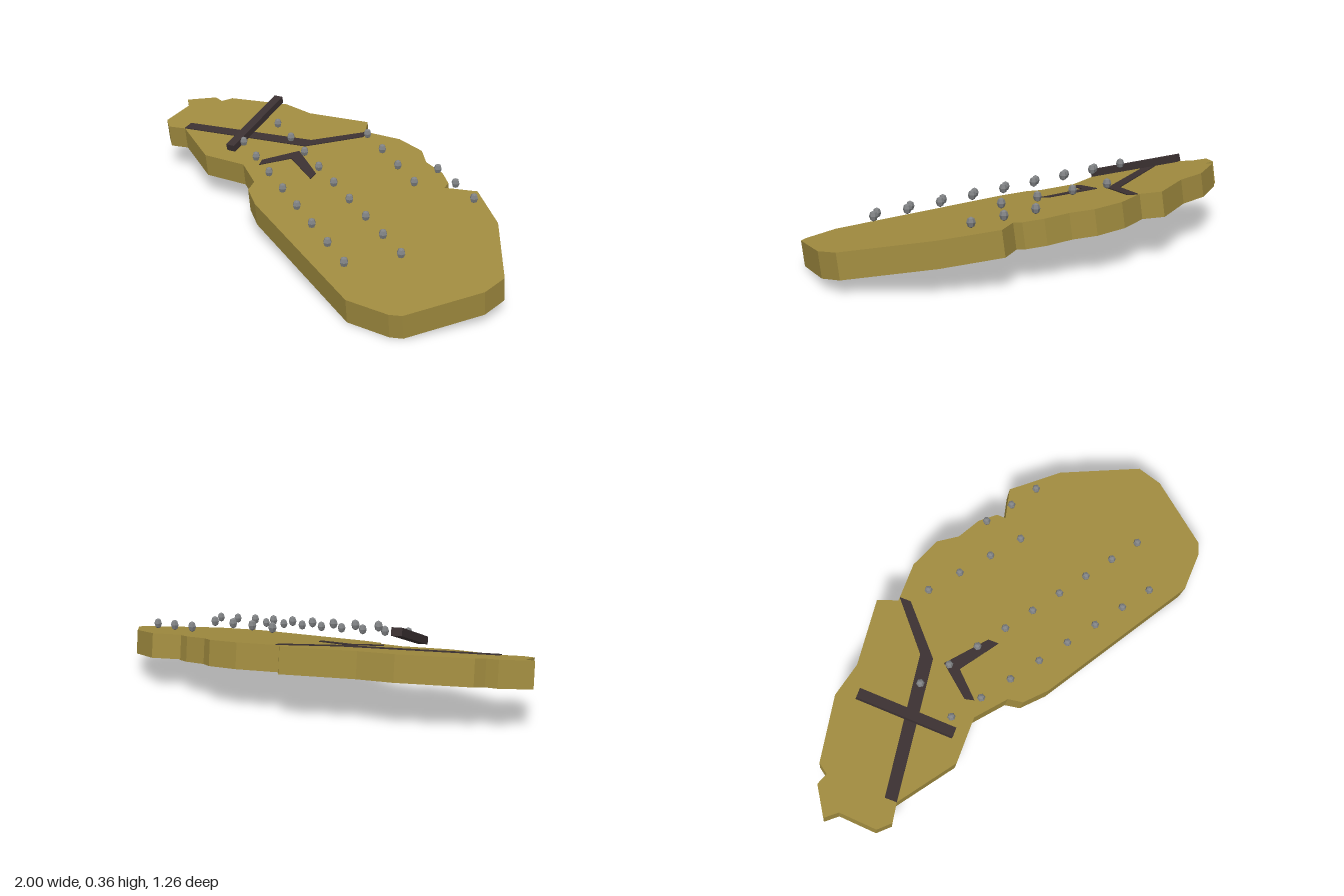
import * as THREE from 'three';

const mat = (name, color, flatShading = false) => {
  const m = new THREE.MeshStandardMaterial({ color, flatShading });
  m.name = name;
  return m;
};

// Upright prism from a ground outline of [x, z] points, its top at height y
function plate(name, points, thickness, top, material) {
  const shape = new THREE.Shape(points.map(([x, z]) => new THREE.Vector2(x, -z / 0.99)));
  const geo = new THREE.ExtrudeGeometry(shape, { depth: thickness, bevelEnabled: false });
  geo.rotateX(-Math.PI / 2).translate(0, top - thickness, 0);
  const mesh = new THREE.Mesh(geo, material);
  mesh.name = name;
  return mesh;
}

export function createModel() {
  const model = new THREE.Group();
  model.name = 'slopingGround';
  const earth = mat('ochre earth', 0xa08b3f);
  const dark = mat('dark brown', 0x3b3132);
  const grey = mat('stone grey', 0x808284, true);

  // Ground slab, sloping down toward the front
  const ground = new THREE.Group();
  ground.name = 'ground';
  ground.rotation.x = 0.142;
  ground.position.y = 0.196;
  model.add(ground);
  ground.add(plate('slab', [
    [-1, -0.47], [-0.957, -0.42], [-0.968, -0.255], [-0.92, -0.205], [-0.835, -0.22],
    [-0.594, -0.05], [-0.385, -0.05], [-0.257, 0.055], [-0.246, 0.12], [-0.155, 0.205],
    [0.52, 0.62], [0.705, 0.63], [0.755, 0.615], [0.968, 0.36], [1, 0.25],
    [0.834, -0.08], [0.663, -0.265], [0.524, -0.235], [0.524, -0.275], [0.465, -0.34],
    [0.36, -0.395], [0.3, -0.475], [0.16, -0.53], [-0.02, -0.53], [-0.053, -0.615],
    [-0.353, -0.585], [-0.508, -0.62], [-0.797, -0.57], [-0.83, -0.525], [-0.88, -0.545],
  ], 0.106, 0, earth));

  // Dark bands laid on the slope
  ground.add(plate('longBand', [
    [-0.835, -0.272], [-0.21, -0.358], [-0.005, -0.53],
    [-0.005, -0.48], [-0.21, -0.3], [-0.835, -0.22],
  ], 0.009, 0.004, dark));
  ground.add(plate('chevronBand', [
    [-0.325, -0.115], [-0.21, -0.25], [-0.04, -0.112],
    [-0.04, -0.065], [-0.21, -0.18], [-0.315, -0.075],
  ], 0.009, 0.004, dark));

  // Beam raised across the long band
  const beam = new THREE.Mesh(new THREE.BoxGeometry(0.043, 0.032, 0.43), dark);
  beam.name = 'beam';
  beam.position.set(-0.487, 0.297, -0.309);
  beam.rotation.x = 0.249;
  model.add(beam);

  // Rows of small faceted markers: first point, last point, count
  const rows = [
    [[0.053, 0.318, -0.415], [0.43, 0.278, -0.13], 4],
    [[0.46, 0.28, -0.3], [0.695, 0.257, -0.15], 3],
    [[-0.433, 0.278, -0.13], [0.43, 0.175, 0.472], 8],
    [[-0.353, 0.327, -0.295], [0.615, 0.21, 0.355], 9],
  ];
  const stone = new THREE.SphereGeometry(0.018, 6, 4).scale(1, 1.25, 1);
  rows.forEach(([from, to, count]) => {
    const a = new THREE.Vector3(...from), b = new THREE.Vector3(...to);
    for (let i = 0; i < count; i++) {
      const marker = new THREE.Mesh(stone, grey);
      marker.name = 'marker';
      marker.position.lerpVectors(a, b, i / (count - 1));
      model.add(marker);
    }
  });
  return model;
}
